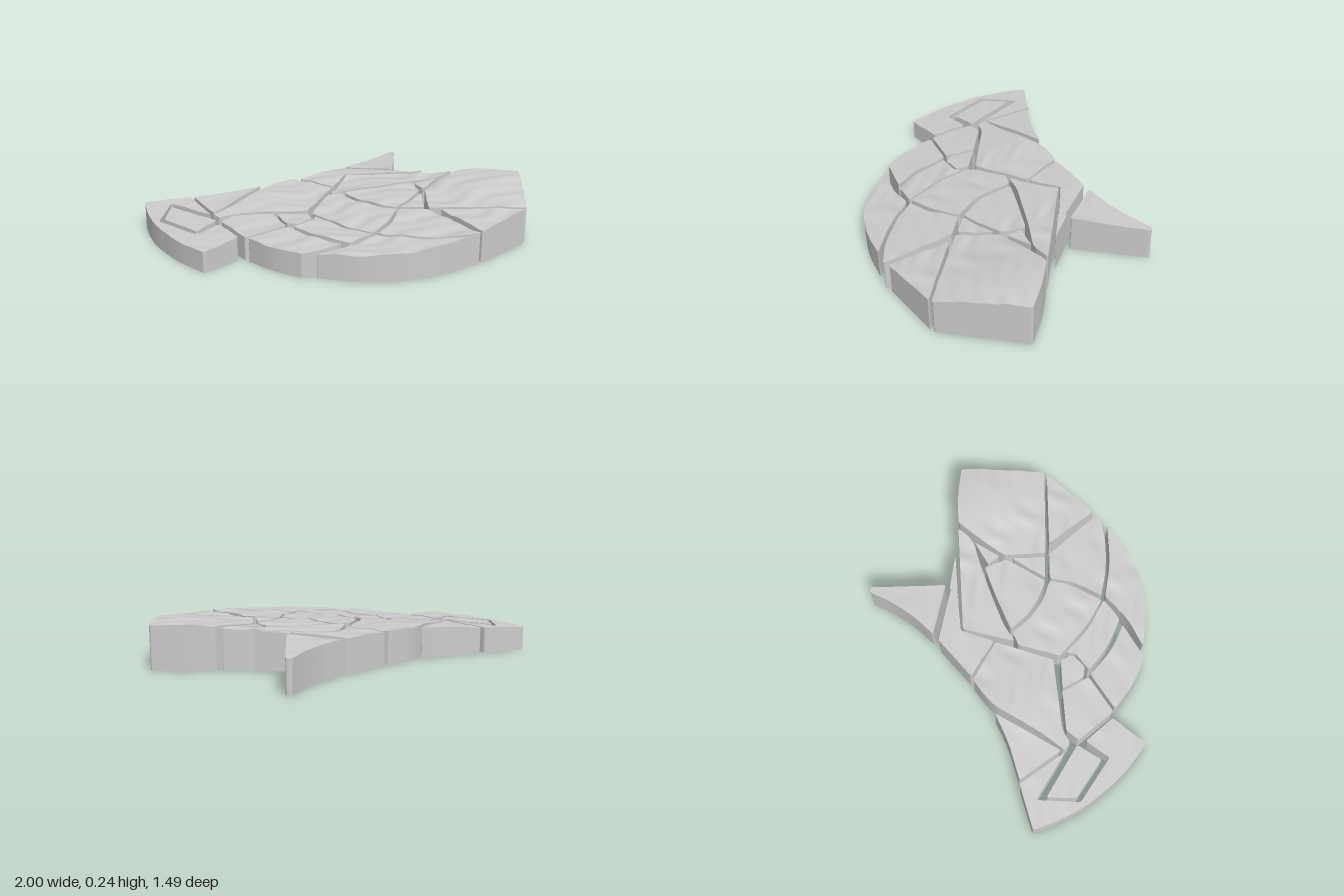
import * as THREE from 'three';

const STEP = 0.025; // longest edge allowed on the relief

// Gently rising ground with two swells and diagonal, warped ripples.
function height(x, z) {
  const bump = (cx, cz, r, a) => a * Math.exp(-((x - cx) ** 2 + (z - cz) ** 2) / (r * r));
  let h = 0.172 + 0.035 * x - 0.065 * Math.max(z, -0.3) + 0.055 * Math.min(0, z + 0.3);
  h += bump(0.83, -0.12, 0.25, 0.03) + bump(-0.35, 0.05, 0.2, 0.014) + bump(0.2, 0.2, 0.25, 0.006);
  const u = x * 0.75 + z, v = x - z * 0.75;
  const rough = 0.35 + 0.65 * THREE.MathUtils.smoothstep(x, -0.7, 0.1) * THREE.MathUtils.smoothstep(z, -0.5, -0.25);
  const warp = 1.4 * Math.sin(v * 9) + 0.8 * Math.sin(v * 17 + 2);
  return h + rough * (0.003 * Math.sin(u * 24 + warp) + 0.0018 * Math.sin(u * 47 - v * 13 + warp * 1.5));
}

function heightNormal(x, z) {
  const e = 0.004;
  return new THREE.Vector3(height(x - e, z) - height(x + e, z), 2 * e, height(x, z - e) - height(x, z + e)).normalize();
}

// Small radius on true corners, long sweeping curves on shallow bends.
function roundedOutline(flat) {
  const pts = [];
  for (let i = 0; i < flat.length; i += 2) pts.push(new THREE.Vector2(flat[i], flat[i + 1]));
  if (THREE.ShapeUtils.area(pts) < 0) pts.reverse();
  const out = [], n = pts.length;
  pts.forEach((p, i) => {
    const a = pts[(i + n - 1) % n], b = pts[(i + 1) % n];
    const toA = a.clone().sub(p), toB = b.clone().sub(p);
    const la = toA.length(), lb = toB.length();
    const turn = Math.PI - Math.acos(THREE.MathUtils.clamp(toA.dot(toB) / (la * lb), -1, 1));
    const reach = turn < 0.65 ? 0.45 * Math.min(la, lb) : Math.min(0.013, 0.4 * la, 0.4 * lb);
    const curve = new THREE.QuadraticBezierCurve(
      p.clone().addScaledVector(toA, reach / la), p, p.clone().addScaledVector(toB, reach / lb));
    out.push(...curve.getPoints(turn < 0.65 ? 5 : 4));
  });
  return out;
}

// Turn the longest edge to ab and halve it, until every edge is short.
function splitTriangle(a, b, c, emit) {
  const ab = a.distanceTo(b);
  const longest = Math.max(ab, b.distanceTo(c), c.distanceTo(a));
  if (longest <= STEP) return emit(a, b, c);
  if (ab < longest) return splitTriangle(b, c, a, emit);
  const m = a.clone().add(b).multiplyScalar(0.5);
  splitTriangle(a, m, c, emit);
  splitTriangle(m, b, c, emit);
}

function splitEdge(a, b, emit) {
  if (a.distanceTo(b) <= STEP) return emit(a, b);
  const m = a.clone().add(b).multiplyScalar(0.5);
  splitEdge(a, m, emit);
  splitEdge(m, b, emit);
}

// A slab: flat underside, upright walls, relief on top.
function slabGeometry(flat) {
  const outline = roundedOutline(flat);
  const position = [], normal = [];
  const put = (p, y, n) => { position.push(p.x, y, p.y); normal.push(n.x, n.y, n.z); };
  const down = new THREE.Vector3(0, -1, 0);
  const top = (p) => put(p, height(p.x, p.y), heightNormal(p.x, p.y));

  for (const [i, j, k] of THREE.ShapeUtils.triangulateShape(outline, [])) {
    let a = outline[i], b = outline[j], c = outline[k];
    if (THREE.ShapeUtils.area([a, b, c]) < 0) [b, c] = [c, b];
    [a, b, c].forEach((p) => put(p, 0, down));
    splitTriangle(a, c, b, (p, q, r) => [p, q, r].forEach(top));
  }
  outline.forEach((start, i) => {
    const end = outline[(i + 1) % outline.length];
    const out = new THREE.Vector3(end.y - start.y, 0, start.x - end.x).normalize();
    splitEdge(start, end, (a, b) => {
      const ha = height(a.x, a.y), hb = height(b.x, b.y);
      put(a, 0, out); put(a, ha, out); put(b, hb, out);
      put(a, 0, out); put(b, hb, out); put(b, 0, out);
    });
  });

  const geometry = new THREE.BufferGeometry();
  geometry.setAttribute('position', new THREE.Float32BufferAttribute(position, 3));
  geometry.setAttribute('normal', new THREE.Float32BufferAttribute(normal, 3));
  return geometry;
}

export function createModel() {
  const group = new THREE.Group();
  group.name = 'splitSlab';
  const material = new THREE.MeshStandardMaterial({ color: 0xcccccc });
  // Outlines are x, z pairs.
  const slab = (name, ...outline) => {
    const mesh = new THREE.Mesh(slabGeometry(outline), material);
    mesh.name = name;
    group.add(mesh);
  };

  // Back edge
  slab('backFin', 0.03, -0.405, 0.14, -0.52, 0.22, -0.64, 0.275, -0.75, 0.305, -0.75, 0.305, -0.34);
  slab('backShoulder', -0.205, -0.2, -0.005, -0.375, 0.285, -0.31, 0.285, -0.28, 0.045, -0.255, -0.01, -0.08);
  slab('backSliver', 0.28, -0.32, 0.475, -0.29, 0.28, -0.275);
  slab('backWedge', 0.055, -0.245, 0.635, -0.275, 0.57, -0.195, 0.38, -0.14, 0.165, -0.06, 0.085, -0.03, -0.008, 0.03);

  // Broad end and the small chips beside it
  slab('broadEnd', 0.67, -0.275, 0.83, -0.28, 1, -0.262, 1, 0.205, 0.505, 0.205, 0.485, -0.02, 0.565, -0.14);
  slab('upperChip', 0.43, -0.11, 0.555, -0.185, 0.48, -0.05);
  slab('lowerChip', 0.468, 0.02, 0.482, 0.2, 0.36, 0.2, 0.42, 0.1);

  // Middle
  slab('middleUpper', 0.06, 0.01, 0.245, -0.07, 0.41, -0.13, 0.46, -0.015, 0.4, 0.1, 0.34, 0.2, 0.23, 0.16, 0.14, 0.1);
  slab('middleLower', 0.04, 0.02, 0.105, 0.1, 0.21, 0.18, 0.342, 0.225, 0.32, 0.335, 0.235, 0.505, 0.085, 0.42, -0.085, 0.27, -0.03, 0.05);
  slab('largeNeck', -0.225, -0.19, -0.015, -0.07, -0.11, 0.235, -0.49, 0.275, -0.555, 0.315, -0.595, 0.285, -0.5, 0.16, -0.355, -0.095);

  // Narrow end, a hooked piece around a loose block
  slab('narrowWedge', -0.405, -0.075, -0.595, 0.265, -0.75, 0.05, -0.555, -0.005);
  slab('narrowHook', -1, 0.115, -0.77, 0.05, -0.605, 0.285, -0.85, 0.135, -0.86, 0.36, -0.63, 0.515, -0.545, 0.395,
    -0.42, 0.54, -0.555, 0.71, -0.715, 0.59, -0.88, 0.39, -0.96, 0.23);
  slab('looseBlock', -0.838, 0.185, -0.565, 0.35, -0.64, 0.475, -0.838, 0.34);

  // Front rows
  slab('frontNeck', -0.49, 0.295, -0.285, 0.28, -0.2, 0.42, -0.385, 0.545, -0.54, 0.36);
  slab('neckChip', -0.265, 0.28, -0.11, 0.275, -0.08, 0.335, -0.14, 0.4, -0.2, 0.395);
  slab('innerBand', -0.065, 0.305, 0.06, 0.425, 0.235, 0.515, 0.13, 0.6, -0.02, 0.535, -0.16, 0.425, -0.075, 0.355);
  slab('innerBroadBand', 0.355, 0.225, 0.5, 0.225, 0.755, 0.505, 0.59, 0.542, 0.41, 0.535, 0.262, 0.505, 0.33, 0.375);
  slab('broadCorner', 0.565, 0.225, 0.99, 0.22, 0.765, 0.475);
  slab('rimNarrow', -0.37, 0.555, -0.185, 0.43, -0.05, 0.55, 0.095, 0.615, -0.085, 0.725, -0.235, 0.66);
  slab('rimBroad', -0.022, 0.72, 0.14, 0.64, 0.255, 0.525, 0.46, 0.562, 0.68, 0.552, 0.54, 0.655, 0.38, 0.725, 0.19, 0.75);

  return group;
}
